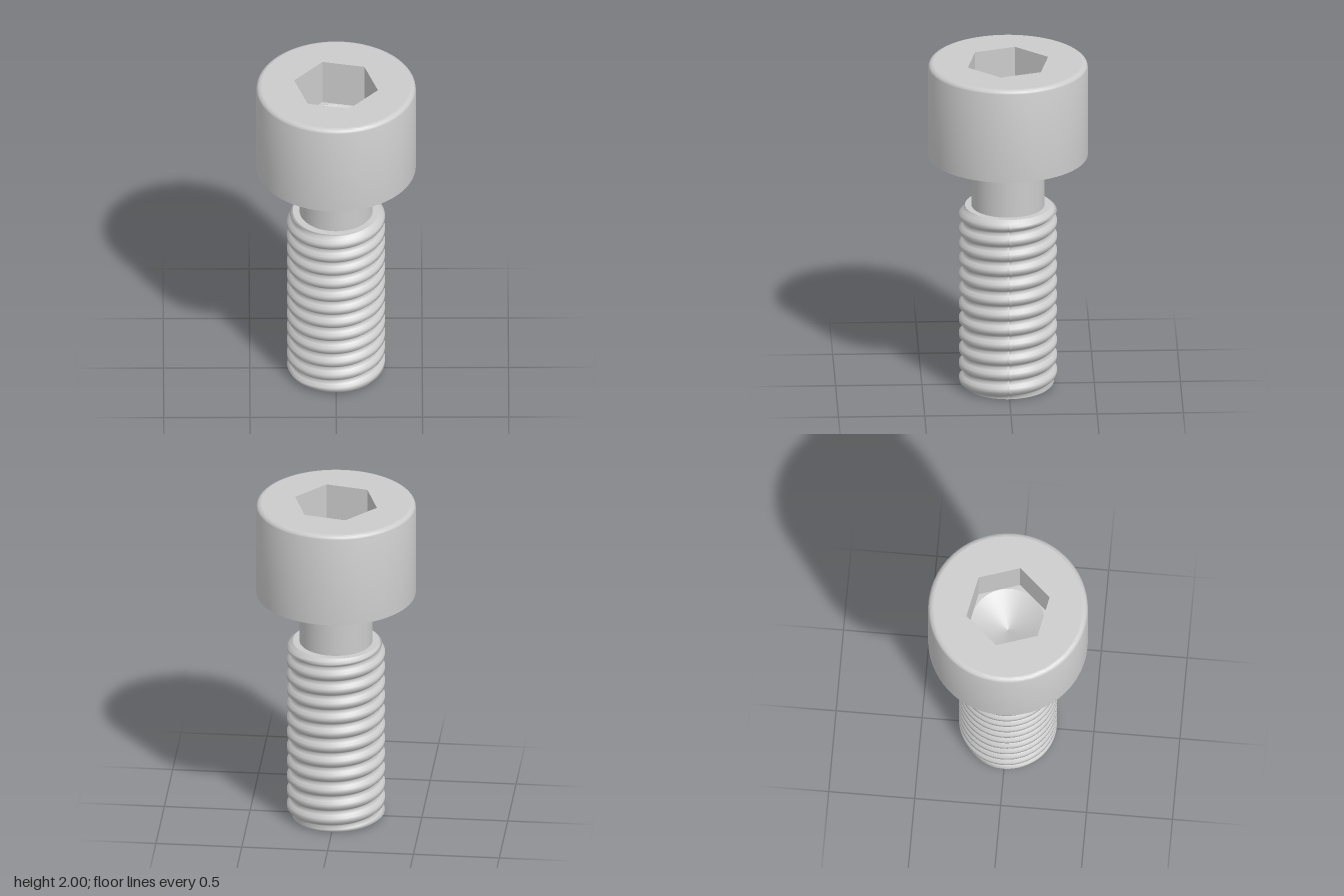
import * as THREE from 'three';
import { toCreasedNormals } from 'three/addons/utils/BufferGeometryUtils.js';

const SEG = 96;
const HEAD_R = 0.463, HEAD_BOTTOM = 1.43, TOP = 2, RIM = 0.03;
const SHANK_R = 0.212;
const HEX_R = 0.248, HEX_TURN = THREE.MathUtils.degToRad(11.7), FLOOR = 1.716;
const THREAD_TOP = 1.115, PITCH = 0.0925, CREST = 0.284, ROOT = 0.25;

const material = new THREE.MeshStandardMaterial({ color: 0xcccccc });

function add(group, name, geometry) {
  const mesh = new THREE.Mesh(geometry, material);
  mesh.name = name;
  group.add(mesh);
  return mesh;
}

// Surface of revolution with sharp edges kept; pairs are [radius, y]
function turned(pairs, segments = SEG, start = 0) {
  const points = pairs.map(([r, y]) => new THREE.Vector2(r, y));
  return toCreasedNormals(new THREE.LatheGeometry(points, segments, start), 0.6);
}

function hexPoints() {
  return Array.from({ length: 6 }, (_, i) => {
    const a = i * Math.PI / 3 - HEX_TURN;
    return new THREE.Vector2(HEX_R * Math.cos(a), HEX_R * Math.sin(a));
  });
}

// Flat shape laid horizontally, facing up at height y
function flat(shape, y) {
  return new THREE.ShapeGeometry(shape, SEG).rotateX(-Math.PI / 2).translate(0, y, 0);
}

function circle(r) {
  return new THREE.Path().absarc(0, 0, r, 0, Math.PI * 2);
}

// V groove with flat crests, p = position within one pitch (0 = mid crest)
function threadRadius(y, theta) {
  const turns = (y - 1.08) / PITCH - theta / (2 * Math.PI);
  const p = Math.abs(turns - Math.round(turns));
  const groove = THREE.MathUtils.clamp((p - 0.16) / 0.34, 0, 1);
  const r = CREST - (CREST - ROOT) * groove;
  return Math.min(r, ROOT + y * 1.2, ROOT + (THREAD_TOP - y) * 1.2);
}

// Right-handed helical grid whose rows follow crest and groove edges
function threadGeometry() {
  const breaks = [-0.16, 0, 0.16, 0.33, 0.5, 0.67];
  const rows = [];
  for (let k = -14; k <= 2; k++) {
    for (const b of breaks) rows.push(1.08 + (k + b) * PITCH);
  }
  const positions = [], index = [];
  rows.forEach((row, i) => {
    for (let j = 0; j <= SEG; j++) {
      const theta = j / SEG * Math.PI * 2;
      const y = THREE.MathUtils.clamp(row + PITCH * j / SEG, 0, THREAD_TOP);
      const r = threadRadius(y, theta);
      positions.push(r * Math.cos(theta), y, -r * Math.sin(theta));
      if (i < rows.length - 1 && j < SEG) {
        const a = i * (SEG + 1) + j, c = a + SEG + 1;
        index.push(a, a + 1, c + 1, a, c + 1, c);
      }
    }
  });
  const g = new THREE.BufferGeometry();
  g.setAttribute('position', new THREE.Float32BufferAttribute(positions, 3));
  g.setIndex(index);
  g.computeVertexNormals();
  return g;
}

export function createModel() {
  const model = new THREE.Group();
  model.name = 'socketHeadScrew';

  // Head: underside, wall and rounded rim
  const head = new THREE.Group();
  head.name = 'head';
  model.add(head);
  const profile = [[SHANK_R, HEAD_BOTTOM], [HEAD_R, HEAD_BOTTOM]];
  for (let i = 0; i <= 6; i++) {
    const a = i / 6 * Math.PI / 2;
    profile.push([HEAD_R - RIM + RIM * Math.cos(a), TOP - RIM + RIM * Math.sin(a)]);
  }
  add(head, 'headBody', turned(profile));

  // Top face with hexagonal opening
  const face = new THREE.Shape().absarc(0, 0, HEAD_R - RIM, 0, Math.PI * 2);
  face.holes.push(new THREE.Path(hexPoints()));
  add(head, 'headTop', flat(face, TOP));

  // Hex socket: walls, corner ledges and drilled cone
  const drillR = HEX_R * Math.cos(Math.PI / 6) - 0.001;
  add(head, 'socketWalls', turned([[HEX_R, TOP], [HEX_R, FLOOR]], 6, Math.PI / 2 - HEX_TURN));
  const ledge = new THREE.Shape(hexPoints());
  ledge.holes.push(circle(drillR));
  add(head, 'socketLedge', flat(ledge, FLOOR));
  add(head, 'socketCone', turned([[drillR, FLOOR], [0, FLOOR - 0.11]]));

  // Plain shank under the head, with the shoulder of the thread
  add(model, 'shank', turned([[ROOT, THREAD_TOP], [SHANK_R, THREAD_TOP], [SHANK_R, HEAD_BOTTOM]]));

  // Threaded part and its end face
  add(model, 'thread', threadGeometry());
  add(model, 'threadEnd', turned([[0, 0], [ROOT, 0]]));

  return model;
}
